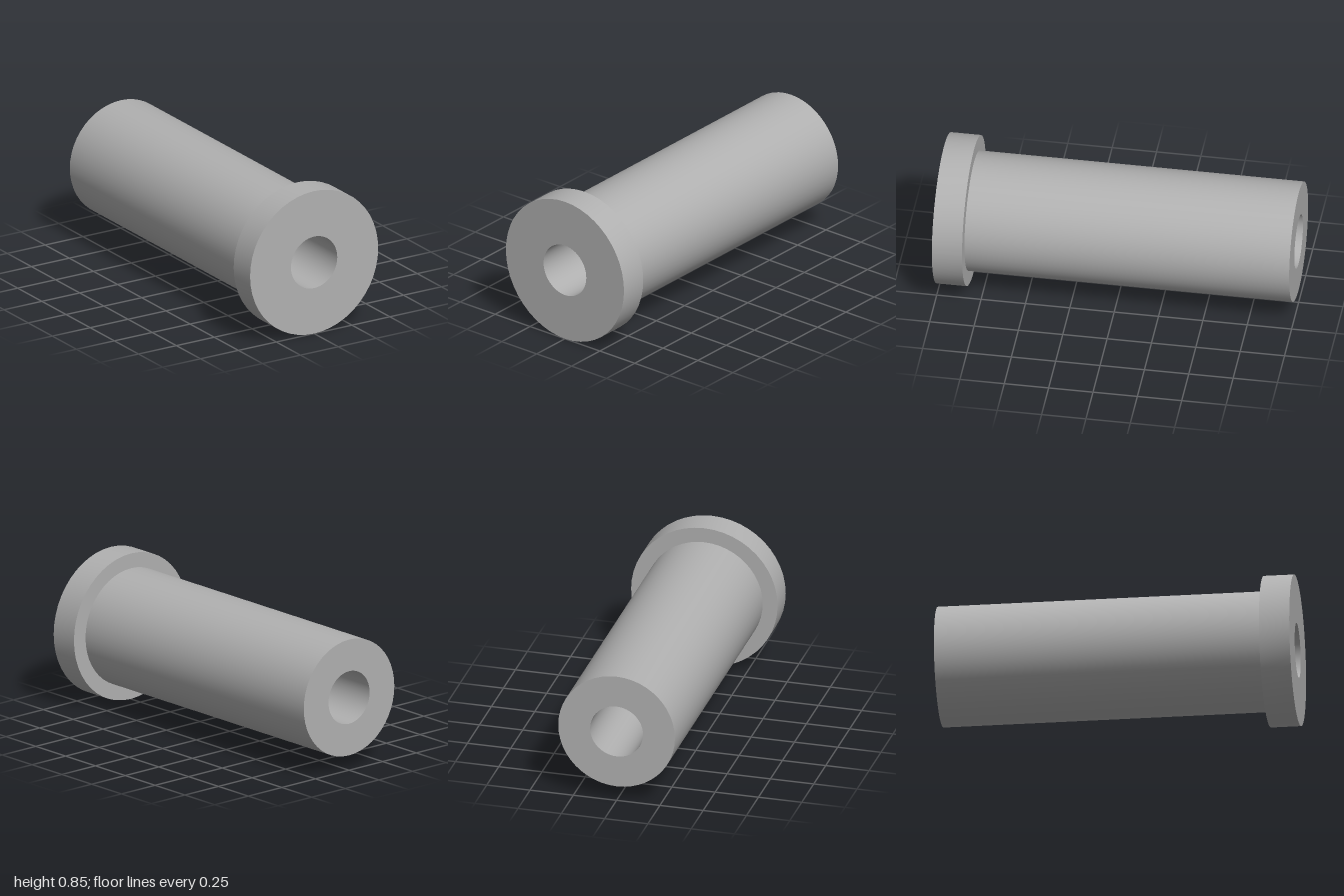
import * as THREE from 'three';
import { toCreasedNormals } from 'three/addons/utils/BufferGeometryUtils.js';

const BORE = 0.153, BARREL = 0.337, FLANGE = 0.423;
const BACK = -1, STEP = 0.83, FRONT = 1;

export function createModel() {
  const group = new THREE.Group();
  group.name = 'flangedBushing';
  const steel = new THREE.MeshStandardMaterial({ color: 0xb0b0b0 });
  steel.name = 'grey steel';

  // Revolve a [radius, z] profile around the horizontal axis, keeping edges sharp
  const turned = (name, profile) => {
    const points = profile.map(([r, z]) => new THREE.Vector2(r, z));
    const lathe = new THREE.LatheGeometry(points, 48).rotateX(Math.PI / 2);
    const mesh = new THREE.Mesh(toCreasedNormals(lathe, 0.6), steel);
    mesh.name = name;
    mesh.position.y = FLANGE;
    group.add(mesh);
  };

  // Back end face and long outer wall
  turned('barrel', [[BORE, BACK], [BARREL, BACK], [BARREL, STEP]]);
  // Shoulder, rim and front face
  turned('flange', [[BARREL, STEP], [FLANGE, STEP], [FLANGE, FRONT], [BORE, FRONT]]);
  // Inner wall of the through hole
  turned('bore', [[BORE, FRONT], [BORE, BACK]]);

  return group;
}
